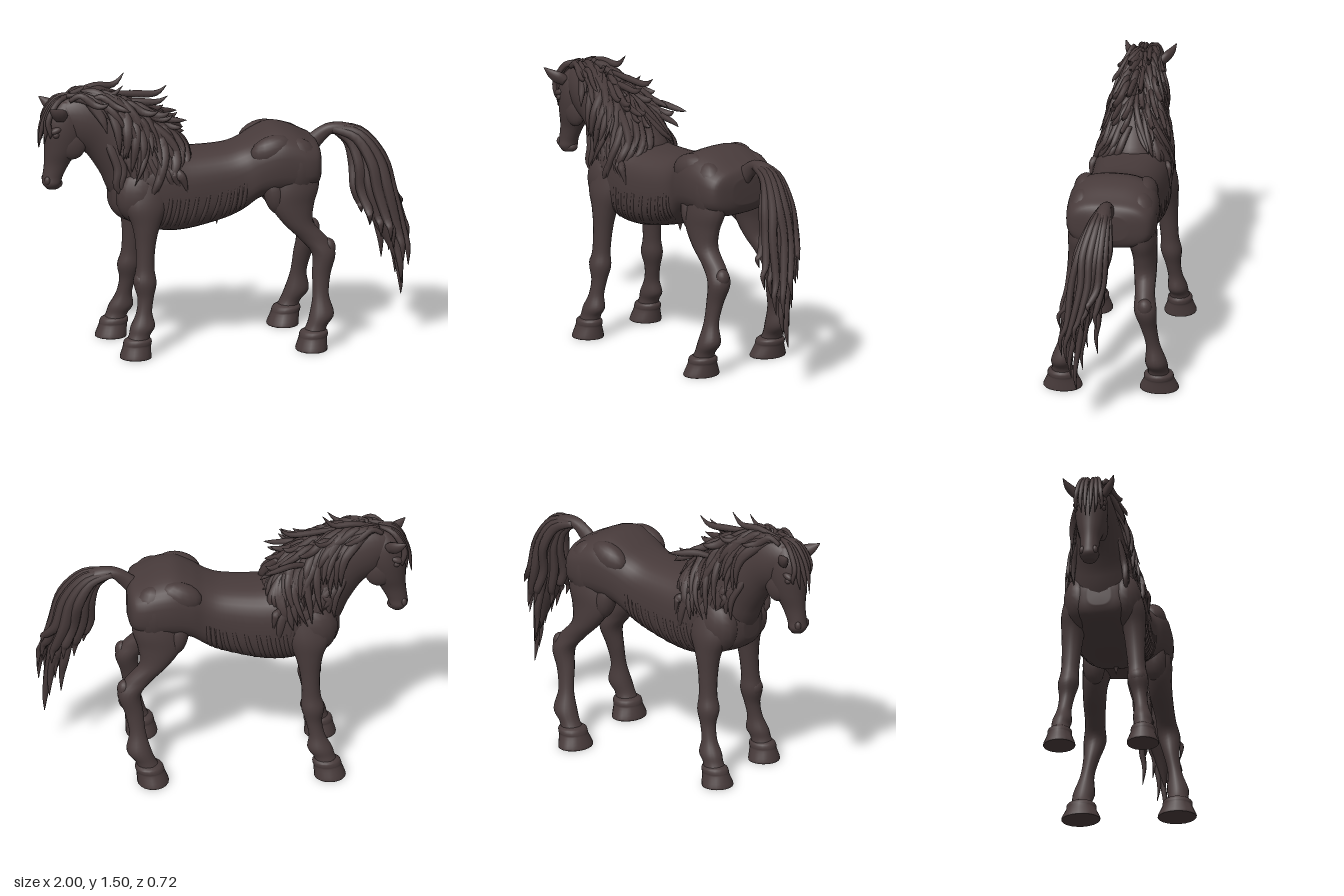
import * as THREE from 'three';

const coat = new THREE.MeshStandardMaterial({ color: 0x483b3b });
coat.name = 'dark brown coat';

let seed = 7;
const rnd = (a, b) => {
  seed = (seed * 16807) % 2147483647;
  return a + (b - a) * (seed / 2147483647);
};

// Smooth interpolation through rows of [x, y, z, halfWidthZ, halfDepth], u from 0 to 1
function sample(rows, u) {
  const f = Math.min(Math.max(u, 0), 1) * (rows.length - 1);
  const i = Math.min(Math.floor(f), rows.length - 2), t = f - i;
  const at = k => rows[Math.min(Math.max(k, 0), rows.length - 1)];
  const [a, b, c, d] = [at(i - 1), at(i), at(i + 1), at(i + 2)];
  return b.map((_, k) => 0.5 * (2 * b[k] + (c[k] - a[k]) * t + (2 * a[k] - 5 * b[k] + 4 * c[k] - d[k]) * t * t
    + (3 * b[k] - a[k] - 3 * c[k] + d[k]) * t * t * t));
}

// Point on the superellipse section at u; angle 0 is along the section normal, 90 degrees is +z
function ringPoint(rows, u, ang, { dir, e = 1, grow = 0 } = {}) {
  const [x, y, z, w, d] = sample(rows, u);
  let [tx, ty] = dir || [0, 0];
  if (!dir) {
    const p = sample(rows, u - 0.02), q = sample(rows, u + 0.02);
    tx = q[0] - p[0]; ty = q[1] - p[1];
    const l = Math.hypot(tx, ty) || 1;
    tx /= l; ty /= l;
  }
  const pw = v => Math.sign(v) * Math.pow(Math.abs(v), e);
  const n = pw(Math.cos(ang)) * (Math.max(d, 0.001) + grow), s = pw(Math.sin(ang)) * (Math.max(w, 0.001) + grow);
  return [x - ty * n, y + tx * n, z + s];
}

// Closed skin through the rows
function loft(rows, opt = {}) {
  const { sides = 24, per = 5 } = opt;
  const n = (rows.length - 1) * per, pos = [], idx = [];
  for (let i = 0; i <= n; i++)
    for (let j = 0; j < sides; j++) pos.push(...ringPoint(rows, i / n, (j / sides) * Math.PI * 2, opt));
  for (let i = 0; i < n; i++)
    for (let j = 0; j < sides; j++) {
      const a = i * sides + j, b = i * sides + (j + 1) % sides;
      idx.push(a, b, b + sides, a, b + sides, a + sides);
    }
  const c0 = pos.length / 3;
  pos.push(...rows[0].slice(0, 3), ...rows[rows.length - 1].slice(0, 3));
  for (let j = 0; j < sides; j++) {
    const k = (j + 1) % sides;
    idx.push(c0, k, j, c0 + 1, n * sides + j, n * sides + k);
  }
  const g = new THREE.BufferGeometry();
  g.setAttribute('position', new THREE.Float32BufferAttribute(pos, 3));
  g.setIndex(idx);
  g.computeVertexNormals();
  return g;
}

const BODY = [
  [-0.61, 0.85, 0, 0.06, 0.06], [-0.58, 0.85, 0, 0.13, 0.11], [-0.5, 0.88, 0, 0.18, 0.18],
  [-0.35, 0.875, 0, 0.205, 0.225], [-0.2, 0.865, 0, 0.207, 0.215], [0, 0.89, 0, 0.194, 0.195],
  [0.1, 0.925, 0, 0.197, 0.185], [0.18, 0.975, 0, 0.222, 0.175], [0.27, 1, 0, 0.24, 0.183],
  [0.36, 0.995, 0, 0.243, 0.175], [0.45, 0.985, 0, 0.235, 0.143], [0.5, 0.985, 0, 0.2, 0.115], [0.522, 0.985, 0, 0.1, 0.07]];
const BODY_OPT = { dir: [1, 0], e: 0.74, sides: 36 };
const NECK = [
  [-0.89, 1.29, 0, 0.06, 0.08], [-0.78, 1.28, 0, 0.095, 0.145], [-0.64, 1.22, 0, 0.115, 0.17],
  [-0.5, 1.1, 0, 0.15, 0.21], [-0.39, 0.95, 0, 0.185, 0.235], [-0.32, 0.87, 0, 0.16, 0.19]];
const HEAD = [
  [-0.84, 1.38, 0, 0.04, 0.04], [-0.855, 1.31, 0, 0.078, 0.09], [-0.855, 1.22, 0, 0.088, 0.112],
  [-0.868, 1.12, 0, 0.075, 0.097], [-0.895, 1.04, 0, 0.054, 0.07], [-0.918, 0.97, 0, 0.049, 0.055],
  [-0.925, 0.93, 0, 0.052, 0.05], [-0.92, 0.9, 0, 0.033, 0.033]];
const HIND = [
  [0.38, 1.02, 0.14, 0.07, 0.11], [0.365, 0.88, 0.16, 0.077, 0.132], [0.35, 0.78, 0.172, 0.066, 0.118],
  [0.38, 0.68, 0.18, 0.06, 0.082], [0.462, 0.59, 0.19, 0.053, 0.075], [0.513, 0.51, 0.2, 0.06, 0.064],
  [0.495, 0.4, 0.215, 0.043, 0.05], [0.485, 0.29, 0.235, 0.038, 0.044], [0.485, 0.19, 0.25, 0.058, 0.066],
  [0.455, 0.13, 0.256, 0.054, 0.056], [0.435, 0.085, 0.256, 0.062, 0.062]];
const FORE = [
  [-0.42, 0.95, 0.12, 0.07, 0.12], [-0.44, 0.82, 0.15, 0.075, 0.12], [-0.445, 0.71, 0.165, 0.062, 0.076],
  [-0.45, 0.6, 0.172, 0.052, 0.054], [-0.455, 0.48, 0.18, 0.048, 0.05], [-0.46, 0.4, 0.187, 0.056, 0.062],
  [-0.462, 0.32, 0.195, 0.041, 0.044], [-0.475, 0.24, 0.206, 0.039, 0.043], [-0.487, 0.17, 0.215, 0.052, 0.066],
  [-0.507, 0.125, 0.22, 0.05, 0.058], [-0.522, 0.085, 0.222, 0.058, 0.062]];
const TAIL = [
  [0.47, 1.04, 0, 0.04, 0.05], [0.53, 1.1, 0, 0.03, 0.042], [0.6, 1.14, 0.003, 0.035, 0.032],
  [0.7, 1.11, 0.01, 0.05, 0.047], [0.785, 1, 0.025, 0.063, 0.065], [0.822, 0.85, 0.05, 0.07, 0.082],
  [0.855, 0.7, 0.08, 0.065, 0.075], [0.9, 0.55, 0.1, 0.035, 0.04], [0.93, 0.42, 0.11, 0.005, 0.006]];

export function createModel() {
  const root = new THREE.Group();
  root.name = 'horse';
  const group = name => {
    const g = new THREE.Group();
    g.name = name;
    root.add(g);
    return g;
  };
  const add = (name, geo, parent = root) => {
    const m = new THREE.Mesh(geo, coat);
    m.name = name;
    parent.add(m);
    return m;
  };
  const blob = (name, p, s, parent) => {
    const m = add(name, new THREE.SphereGeometry(1, 16, 12), parent);
    m.position.set(...p);
    m.scale.set(...s);
    return m;
  };
  // Tapered hair strand through points
  const lock = (name, pts, r, parent) => add(name, loft(pts.map((p, i) => {
    const t = i / (pts.length - 1), k = r * Math.max(0.06, Math.pow(Math.sin(Math.PI * (0.18 + 0.82 * t)), 0.7));
    return [...p, k * 0.75, k];
  }), { sides: 6, per: 4 }), parent);

  add('body', loft(BODY, BODY_OPT));
  add('neck', loft(NECK));
  add('head', loft(HEAD, { dir: [0, -1] }));
  add('tailCore', loft(TAIL, { sides: 14 }));
  const sheath = add('sheath', new THREE.ConeGeometry(0.03, 0.1, 12));
  sheath.position.set(-0.025, 0.695, 0);
  sheath.rotation.z = Math.PI;

  const ribs = group('ribs'), legs = group('legs'), face = group('face');
  for (const s of [1, -1]) {
    // Ribs follow the lower flank
    for (let i = 0; i < 10; i++) {
      const pts = [];
      for (let k = 0; k <= 5; k++)
        pts.push(new THREE.Vector3(...ringPoint(BODY, 0.27 + i * 0.025 - k * 0.004, s * (1.58 + k * 0.19), { ...BODY_OPT, grow: -0.006 - Math.abs(k - 2.5) * 0.002 })));
      add('rib', new THREE.TubeGeometry(new THREE.CatmullRomCurve3(pts), 14, 0.014, 8), ribs);
    }
    // Legs with hooves; the two sides are slightly staggered
    for (const [name, rows, shift, wide] of [['hindLeg', HIND, s > 0 ? 0.012 : -0.035, 1], ['foreLeg', FORE, s * 0.02, 0.82]]) {
      const put = r => [r[0] + shift * Math.max(0, 1 - r[1] / 0.5), r[1], r[2] * s, r[3], r[4]];
      add(name, loft(rows.map(put), { dir: [0, -1], sides: 18 }), legs);
      const [hx, , hz] = rows[rows.length - 1];
      add('hoof', loft([[hx + 0.008, 0.112, hz, 0.05, 0.055], [hx + 0.004, 0.098, hz, 0.076, 0.073], [hx, 0.078, hz, 0.081, 0.077],
        [hx - 0.003, 0.064, hz, 0.081, 0.076], [hx - 0.012, 0.012, hz, 0.104, 0.084], [hx - 0.012, 0, hz, 0.103, 0.084]]
        .map(r => put([r[0], r[1], r[2], r[3] * wide, r[4]])), { dir: [0, -1], sides: 20, per: 3 }), legs);
    }
    blob('hock', [0.54, 0.54, 0.2 * s], [0.038, 0.05, 0.04], legs);
    blob('knee', [-0.482, 0.41, 0.187 * s], [0.038, 0.05, 0.045], legs);
    blob('shoulder', [-0.47, 0.86, 0.12 * s], [0.13, 0.15, 0.09]);
    blob('hipBone', [0.24, 1.08, 0.16 * s], [0.12, 0.08, 0.066]).rotation.z = 0.3;
    blob('haunch', [0.38, 0.98, 0.155 * s], [0.12, 0.16, 0.09]);
    blob('stifle', [0.255, 0.84, 0.165 * s], [0.058, 0.11, 0.06]).rotation.z = 0.2;

    // Face
    blob('cheek', [-0.82, 1.15, 0.047 * s], [0.075, 0.085, 0.036], face);
    blob('brow', [-0.915, 1.235, 0.068 * s], [0.035, 0.018, 0.022], face).rotation.z = 0.4;
    blob('eye', [-0.915, 1.21, 0.073 * s], [0.018, 0.016, 0.014], face);
    blob('nostril', [-0.953, 0.95, 0.034 * s], [0.018, 0.024, 0.016], face);
    add('ear', loft([[-0.865, 1.3, 0.065 * s, 0.024, 0.026], [-0.895, 1.322, 0.09 * s, 0.028, 0.038],
      [-0.93, 1.345, 0.115 * s, 0.02, 0.026], [-0.965, 1.372, 0.135 * s, 0.003, 0.003]], { sides: 10 }), face);
  }
  blob('lowerLip', [-0.9, 0.925, 0], [0.035, 0.028, 0.034], face);

  // Mane: strands hugging the neck and lifting off at the tips
  const mane = group('mane');
  for (const s of [1, -1]) {
    for (let i = 0; i < 46; i++) {
      const u0 = 0.14 + 0.5 * (i / 46) + rnd(-0.03, 0.03), a0 = rnd(0.05, 0.55), a1 = a0 + rnd(0.35, 1.55);
      const len = rnd(0.22, 0.38), lift = rnd(0.008, 0.03), wob = rnd(-0.08, 0.08), pts = [];
      for (let k = 0; k <= 5; k++) {
        const t = k / 5;
        pts.push(ringPoint(NECK, Math.min(u0 + len * t, 0.9), s * (a0 + (a1 - a0) * t + wob * Math.sin(t * 7)),
          { grow: 0.004 + lift * t + 0.008 * Math.sin(t * 6 + i) }));
      }
      lock('maneStrand', pts, rnd(0.02, 0.032), mane);
    }
    // Long strands hanging over the shoulder
    for (let i = 0; i < 12; i++) {
      const x = -0.62 + i * 0.029, y = 1.18 - i * 0.01, z = 0.1 + i * 0.006, e = rnd(0.78, 0.92) + (i < 3 ? 0.06 : 0);
      lock('shoulderStrand', [[x - 0.04, y + 0.05, s * (z - 0.03)], [x, y - 0.06, s * (z + 0.015)],
        [x + 0.03, (y + e) / 2, s * (z + 0.035)], [x + 0.03 + rnd(-0.02, 0.03), e + 0.06, s * (z + 0.043)],
        [x + 0.06 + rnd(-0.02, 0.03), e - 0.02, s * (z + 0.038)]], rnd(0.02, 0.03), mane);
    }
    // Windblown crest strands
    for (let i = 0; i < 13; i++) {
      const x = -0.84 + i * 0.036, y = 1.41 - Math.pow(i / 13, 2) * 0.2, z = s * rnd(0.01, 0.07);
      const l = rnd(0.18, 0.24), up = rnd(-0.03, 0.05);
      lock('crestStrand', [[x, y - 0.02, z], [x + l * 0.3, y + 0.01, z * 1.2], [x + l * 0.65, y - 0.035, z * 1.5 + s * 0.01],
        [x + l * 0.9, y - 0.05 + up * 0.3, z * 1.7 + s * 0.02], [x + l * 1.05, y - 0.05 + up, z * 1.8 + s * 0.02]], rnd(0.018, 0.026), mane);
    }
    // Forelock
    for (let i = 0; i < 3; i++)
      lock('forelock', [[-0.82, 1.41, s * 0.01], [-0.9, 1.385, s * (0.015 + i * 0.015)], [-0.955, 1.31 - i * 0.01, s * (0.015 + i * 0.025)],
        [-0.985 + i * 0.02, 1.22, s * (0.015 + i * 0.028)], [-0.995 + i * 0.025, 1.13 + i * 0.03, s * (0.01 + i * 0.026)]], 0.017, mane);
  }
  for (const [x, y, z] of [[-0.52, 1.5, -0.05], [-0.55, 1.46, 0.06], [-0.3, 1.38, 0.03], [-0.29, 1.42, -0.04], [-0.2, 1.23, -0.2], [-0.21, 1.26, 0.1]])
    lock('windStrand', [[x - 0.3, Math.min(y - 0.02, 1.41), z * 0.4], [x - 0.17, y - 0.035 + (1.42 - y) * 0.3, z * 0.7],
      [x - 0.06, y - 0.04 + (1.42 - y) * 0.25, z * 0.9], [x, y, z]], 0.02, mane);

  // Tail strands ending in separate points
  const tail = group('tail');
  const tips = [[0.955, 0.23, 0.1], [0.93, 0.34, 0.07], [0.87, 0.41, 0], [0.985, 0.4, 0.15], [0.9, 0.5, 0.17], [0.84, 0.56, 0.14],
    [0.99, 0.5, 0.1], [0.8, 0.6, 0.04], [0.95, 0.42, 0.18], [0.92, 0.58, 0], [0.97, 0.58, 0.06], [0.75, 0.68, 0.06],
    [0.97, 0.7, 0.03], [0.9, 0.46, 0.05], [0.95, 0.3, 0.13], [0.78, 0.64, 0.15], [0.88, 0.55, 0.2], [0.86, 0.62, -0.02]];
  tips.forEach(([x, y, z], i) => {
    const o = (x - 0.89) * 0.8, q = (z - 0.08) * 0.75;
    lock('tailStrand', [[0.6, 1.14, q * 0.3], [0.72 + o * 0.3, 1.1 + o * 0.3, 0.01 + q * 0.6], [0.8 + o * 0.75, 0.97 + o * 0.2, 0.03 + q],
      [0.83 + o, 0.82, 0.05 + q + (i % 3 - 1) * 0.015], [(x + 0.85 + o) / 2, (y + 0.8) / 2, (z + 0.06) / 2 + q * 0.5],
      [x - 0.005, y + Math.min(0.1, (0.8 - y) * 0.3), z + 0.01], [x, y, z]], 0.03, tail);
  });
  return root;
}
